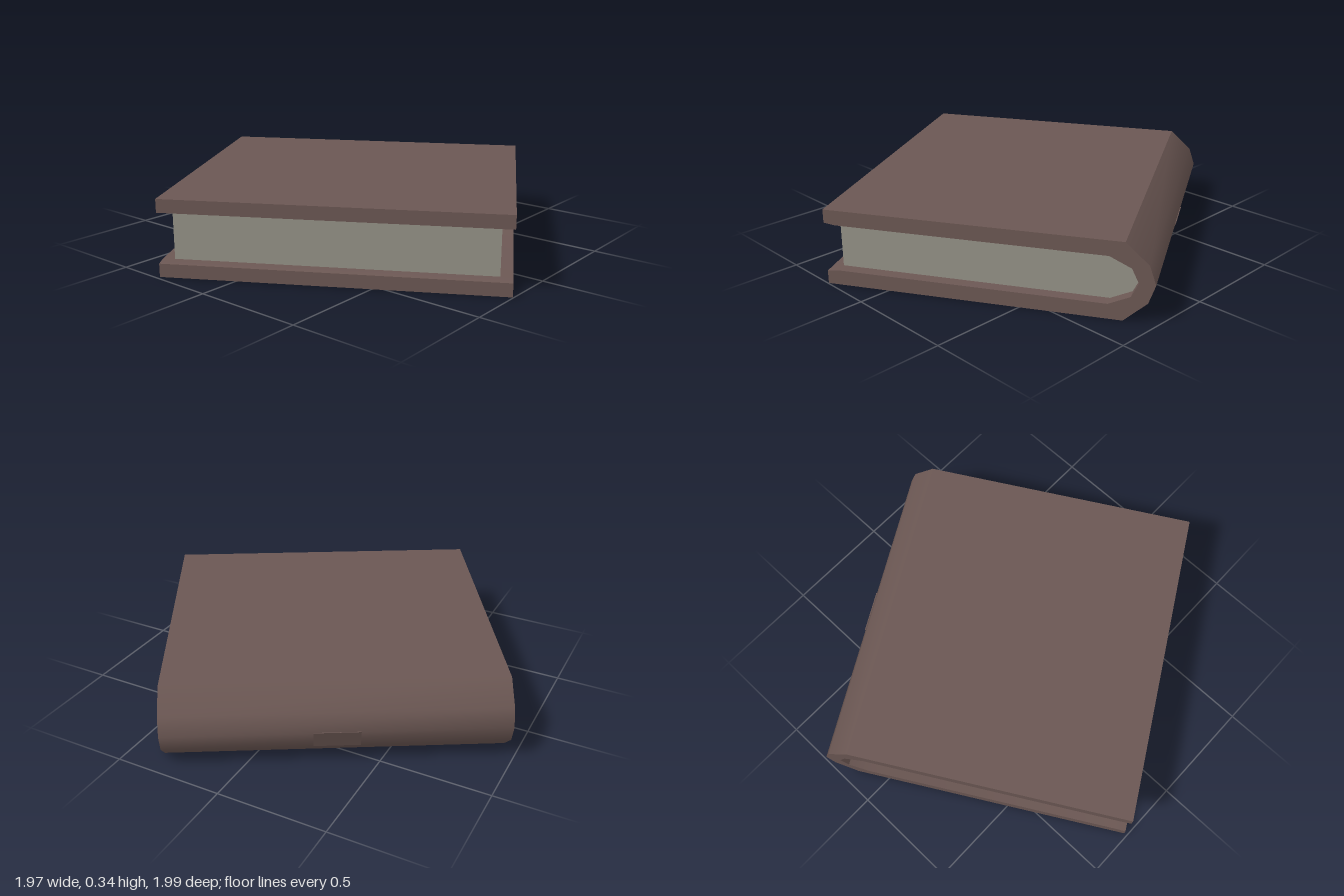
import * as THREE from 'three';
import { toCreasedNormals } from 'three/addons/utils/BufferGeometryUtils.js';

const HEIGHT = 0.345, MID = HEIGHT / 2;

// Extrude a profile (x across the book, y up) along z, centred on z = 0
function slab(points, length, crease) {
  const shape = new THREE.Shape(points.map(([x, y]) => new THREE.Vector2(x, y)));
  const geo = new THREE.ExtrudeGeometry(shape, { depth: length, bevelEnabled: false });
  geo.translate(0, 0, -length / 2);
  return toCreasedNormals(geo, crease);
}

// Complete a lower half profile by mirroring it about mid height
function mirrored(half) {
  const upper = half.filter(p => p[1] < MID).map(([x, y]) => [x, HEIGHT - y]).reverse();
  return [...half, ...upper];
}

export function createModel() {
  const model = new THREE.Group();
  model.name = 'book';
  const coverMat = new THREE.MeshStandardMaterial({ color: 0x6b5753 });
  const pageMat = new THREE.MeshStandardMaterial({ color: 0x949186 });
  const add = (name, geo, mat) => {
    const mesh = new THREE.Mesh(geo, mat);
    mesh.name = name;
    model.add(mesh);
    return mesh;
  };

  // Cover: two boards joined by a rounded spine, open at the fore edge
  const outer = mirrored([[-0.708, 0], [0.581, 0], [0.68, 0.09], [0.708, MID]]);
  const inner = mirrored([[-0.708, 0.06], [-0.657, 0.067], [0.518, 0.067], [0.61, 0.11], [0.64, MID]]);
  add('cover', slab([...outer, ...inner.reverse()], 1.484, 0.66), coverMat);

  // Page block, set back from the cover's open edges
  const pages = mirrored([[-0.657, 0.067], [0.518, 0.067], [0.61, 0.11], [0.64, MID]]);
  add('pages', slab(pages, 1.378, 0.4), pageMat);

  // Small raised panel lying on the lower middle facet of the spine
  const panel = [[0.67, 0.09], [0.684, 0.09], [0.711, 0.175], [0.697, 0.175]];
  add('spinePanel', slab(panel, 0.2, 0.4), coverMat);

  // The book lies turned on its back cover
  model.rotation.y = Math.PI / 6;
  const root = new THREE.Group();
  root.add(model);
  return root;
}
